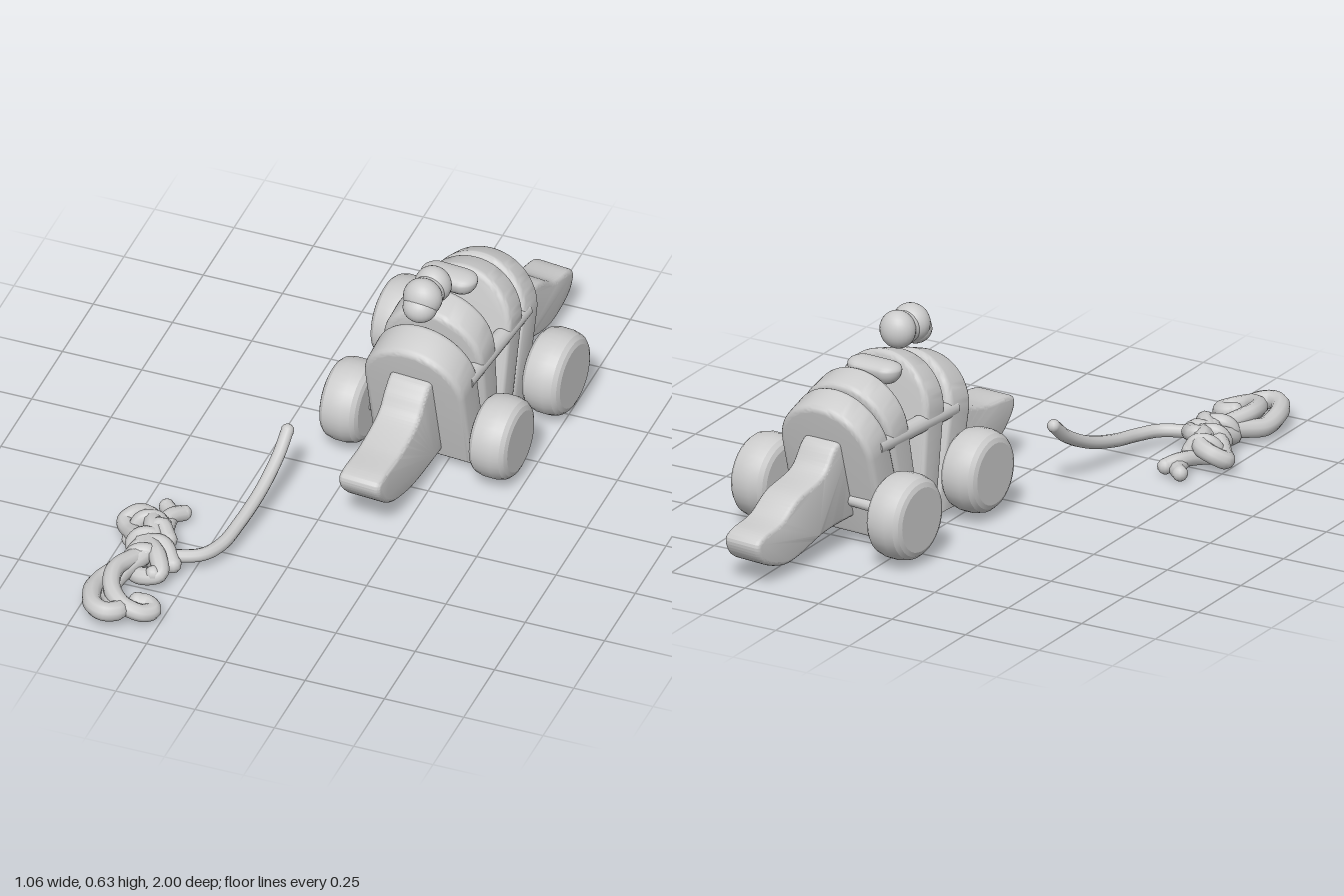
import * as THREE from 'three';
import { toCreasedNormals } from 'three/addons/utils/BufferGeometryUtils.js';

const material = new THREE.MeshStandardMaterial({ color: 0xcccccc });
const V = (p) => new THREE.Vector3(...p);

function add(parent, name, geometry, position = [0, 0, 0]) {
  const mesh = new THREE.Mesh(geometry, material);
  mesh.name = name;
  mesh.position.set(...position);
  parent.add(mesh);
  return mesh;
}

// Arched slab leaning from its bottom z range to its top z range (back, front);
// tilt lowers the top towards the front (+) or the back (-)
function archPlate(top, bottomZ, topZ, tilt) {
  const hw = 0.163, base = 0.035, bevel = 0.018, r = hw - bevel;
  const s = new THREE.Shape();
  s.moveTo(-r, base + bevel);
  s.lineTo(r, base + bevel);
  s.lineTo(r, top - hw);
  s.absarc(0, top - hw, r, 0, Math.PI);
  s.closePath();
  const g = new THREE.ExtrudeGeometry(s, {
    depth: 0.1 - 2 * bevel, bevelSize: bevel, bevelThickness: bevel, bevelSegments: 4, curveSegments: 20,
  });
  const p = g.attributes.position;
  for (let i = 0; i < p.count; i++) {
    const t = (p.getY(i) - base) / (top - base);
    const d = (p.getZ(i) + bevel) / 0.1;
    const back = THREE.MathUtils.lerp(bottomZ[0], topZ[0], t);
    const front = THREE.MathUtils.lerp(bottomZ[1], topZ[1], t);
    p.setZ(i, THREE.MathUtils.lerp(back, front, d));
    p.setY(i, p.getY(i) - t * (tilt > 0 ? tilt * d : -tilt * (1 - d)));
  }
  return toCreasedNormals(g, 0.7);
}

// Side silhouette (z, y) cut from a board of the given width
function sideBoard(points, width) {
  const bevel = 0.014;
  const s = new THREE.Shape();
  s.moveTo(...points[0]);
  s.splineThru(points.slice(1).map((p) => new THREE.Vector2(...p)));
  s.closePath();
  const g = new THREE.ExtrudeGeometry(s, {
    depth: width - 2 * bevel, bevelSize: bevel, bevelOffset: -bevel, bevelThickness: bevel,
    bevelSegments: 3, curveSegments: 40,
  });
  g.translate(0, 0, -width / 2 + bevel).rotateY(-Math.PI / 2);
  return toCreasedNormals(g, 0.7);
}

function wheelGeometry(r, w) {
  const h = w / 2;
  const pts = [[0, -h], [r - 0.032, -h], [r - 0.018, -h + 0.006], [r - 0.007, -h + 0.018], [r, -h + 0.045],
    [r, h - 0.045], [r - 0.007, h - 0.018], [r - 0.018, h - 0.006], [r - 0.032, h], [0, h]];
  const g = new THREE.LatheGeometry(pts.map((p) => new THREE.Vector2(...p)), 32);
  return toCreasedNormals(g.rotateZ(-Math.PI / 2), 0.4);
}

// Loose slat: a capsule across the body, flatter above than below
function slatGeometry() {
  const g = new THREE.CapsuleGeometry(0.046, 0.085, 8, 20).rotateZ(Math.PI / 2);
  const p = g.attributes.position;
  for (let i = 0; i < p.count; i++) {
    const y = p.getY(i);
    p.setY(i, y > 0 ? y * 0.5 : y);
  }
  g.computeVertexNormals();
  return g;
}

// Rope with rounded ends
function rope(parent, name, points, r) {
  const curve = new THREE.CatmullRomCurve3(points.map(V));
  add(parent, name, new THREE.TubeGeometry(curve, points.length * 10, r, 10));
  for (const end of [points[0], points[points.length - 1]]) {
    add(parent, name + 'End', new THREE.SphereGeometry(r, 12, 8), end);
  }
}

export function createModel() {
  const model = new THREE.Group();

  // Body, turned slightly about its middle
  const turn = new THREE.Group();
  turn.name = 'body';
  turn.position.set(0.192, 0, -0.33);
  turn.rotation.y = -0.08;
  const body = new THREE.Group();
  body.name = 'bodyParts';
  body.position.z = 0.33;
  turn.add(body);
  model.add(turn);

  // Fanned plates: top height, bottom z, top z, tilt
  const plates = [
    [0.495, [-0.25, -0.14], [-0.152, -0.042], 0.04],
    [0.535, [-0.335, -0.25], [-0.292, -0.187], 0.03],
    [0.525, [-0.41, -0.325], [-0.525, -0.425], -0.03],
    [0.495, [-0.52, -0.4], [-0.632, -0.538], -0.04],
  ];
  plates.forEach((p) => add(body, 'shellPlate', archPlate(...p)));

  // Head and tail
  add(body, 'head', sideBoard([
    [-0.2, 0.36], [-0.07, 0.36], [-0.02, 0.325], [0.03, 0.27], [0.14, 0.235], [0.255, 0.225],
    [0.29, 0.208], [0.28, 0.165], [0.22, 0.107], [0.14, 0.075], [0.02, 0.06], [-0.2, 0.07],
  ], 0.135));
  const tail = add(body, 'tail', sideBoard([
    [-0.48, 0.36], [-0.61, 0.35], [-0.68, 0.275], [-0.8, 0.24], [-0.88, 0.19], [-0.97, 0.17],
    [-1.0, 0.14], [-0.97, 0.085], [-0.88, 0.05], [-0.8, 0.053], [-0.66, 0.09], [-0.48, 0.1],
  ], 0.128), [-0.02, 0, 0]);
  tail.rotation.y = -0.04;

  // Links running through the plates near both sides
  for (const x of [-0.14, 0.14]) {
    add(body, 'plateLink', new THREE.CylinderGeometry(0.027, 0.027, 0.4, 14).rotateX(Math.PI / 2), [x, 0.335, -0.34]);
  }

  add(body, 'centreSlat', slatGeometry(), [-0.025, 0.515, -0.375]);

  // Lobed knob on top: radius, x/y/z scale, y, z
  const knob = [
    [0.06, 1, 0.98, 0.85, 0.582, -0.165], [0.058, 0.97, 1, 0.85, 0.582, -0.235],
    [0.052, 1, 0.88, 0.95, 0.558, -0.146], [0.05, 1, 1, 1, 0.578, -0.2],
  ];
  for (const [r, sx, sy, sz, y, z] of knob) {
    add(body, 'topKnob', new THREE.SphereGeometry(r, 24, 16).scale(sx, sy, sz), [-0.01, y, z]);
  }

  // Wheels and axles: left wheel x/z, right wheel x/z, radius, yaw
  const pairs = [
    [[-0.05, -0.155], [0.425, -0.145], 0.127, -0.06],
    [[-0.05, -0.583], [0.458, -0.503], 0.131, -0.09],
  ];
  for (const [a, b, r, yaw] of pairs) {
    for (const [x, z] of [a, b]) {
      add(model, 'wheel', wheelGeometry(r, 0.124), [x, 0.155, z]).rotation.y = yaw;
    }
    const path = new THREE.LineCurve3(V([a[0], 0.155, a[1]]), V([b[0], 0.155, b[1]]));
    add(model, 'axle', new THREE.TubeGeometry(path, 1, 0.018, 12));
  }

  // Pull cord and its knotted bundle
  const cord = new THREE.Group();
  cord.name = 'pullCord';
  model.add(cord);
  rope(cord, 'cord', [
    [-0.143, 0.215, 0.13], [-0.148, 0.165, 0.19], [-0.16, 0.11, 0.3], [-0.178, 0.075, 0.43],
    [-0.195, 0.062, 0.53], [-0.23, 0.06, 0.595], [-0.3, 0.06, 0.63], [-0.37, 0.06, 0.64],
  ], 0.02);
  rope(cord, 'lowerLoop', [
    [-0.37, 0.06, 0.63], [-0.42, 0.06, 0.72], [-0.468, 0.05, 0.8], [-0.468, 0.06, 0.88],
    [-0.435, 0.065, 0.95], [-0.395, 0.065, 0.967], [-0.362, 0.06, 0.94], [-0.4, 0.05, 0.89],
    [-0.435, 0.04, 0.83], [-0.42, 0.06, 0.76], [-0.38, 0.08, 0.68],
  ], 0.029);
  rope(cord, 'hookedEnd', [
    [-0.4, 0.08, 0.7], [-0.43, 0.09, 0.79], [-0.41, 0.08, 0.87], [-0.36, 0.065, 0.915],
    [-0.3, 0.045, 0.91], [-0.278, 0.04, 0.88], [-0.3, 0.045, 0.86], [-0.33, 0.05, 0.865],
  ], 0.027);
  rope(cord, 'knot', [
    [-0.3, 0.05, 0.66], [-0.35, 0.085, 0.62], [-0.41, 0.07, 0.64], [-0.42, 0.045, 0.7],
    [-0.37, 0.045, 0.74], [-0.315, 0.06, 0.73], [-0.34, 0.085, 0.68], [-0.4, 0.08, 0.6],
    [-0.38, 0.095, 0.55], [-0.34, 0.08, 0.59],
  ], 0.027);
  rope(cord, 'upperLoop', [
    [-0.38, 0.08, 0.65], [-0.43, 0.07, 0.6], [-0.475, 0.05, 0.55], [-0.505, 0.05, 0.51],
    [-0.475, 0.07, 0.485], [-0.43, 0.08, 0.5], [-0.4, 0.09, 0.56], [-0.36, 0.07, 0.63],
  ], 0.028);
  rope(cord, 'looseEnd', [
    [-0.36, 0.05, 0.62], [-0.375, 0.045, 0.54], [-0.39, 0.04, 0.46], [-0.4, 0.035, 0.41], [-0.425, 0.035, 0.383],
  ], 0.024);
  rope(cord, 'looseEnd', [
    [-0.47, 0.035, 0.57], [-0.42, 0.04, 0.52], [-0.39, 0.05, 0.44], [-0.365, 0.04, 0.4],
  ], 0.024);

  // Turns wound around the middle of the bundle
  const coil = [];
  for (let i = 0; i <= 18; i++) {
    const a = i * 1.05, t = i / 18;
    coil.push([-0.43 + 0.06 * t + 0.04 * Math.cos(a), 0.062 + 0.03 * Math.sin(a), 0.5 + 0.24 * t]);
  }
  rope(cord, 'coil', coil, 0.024);

  return model;
}
